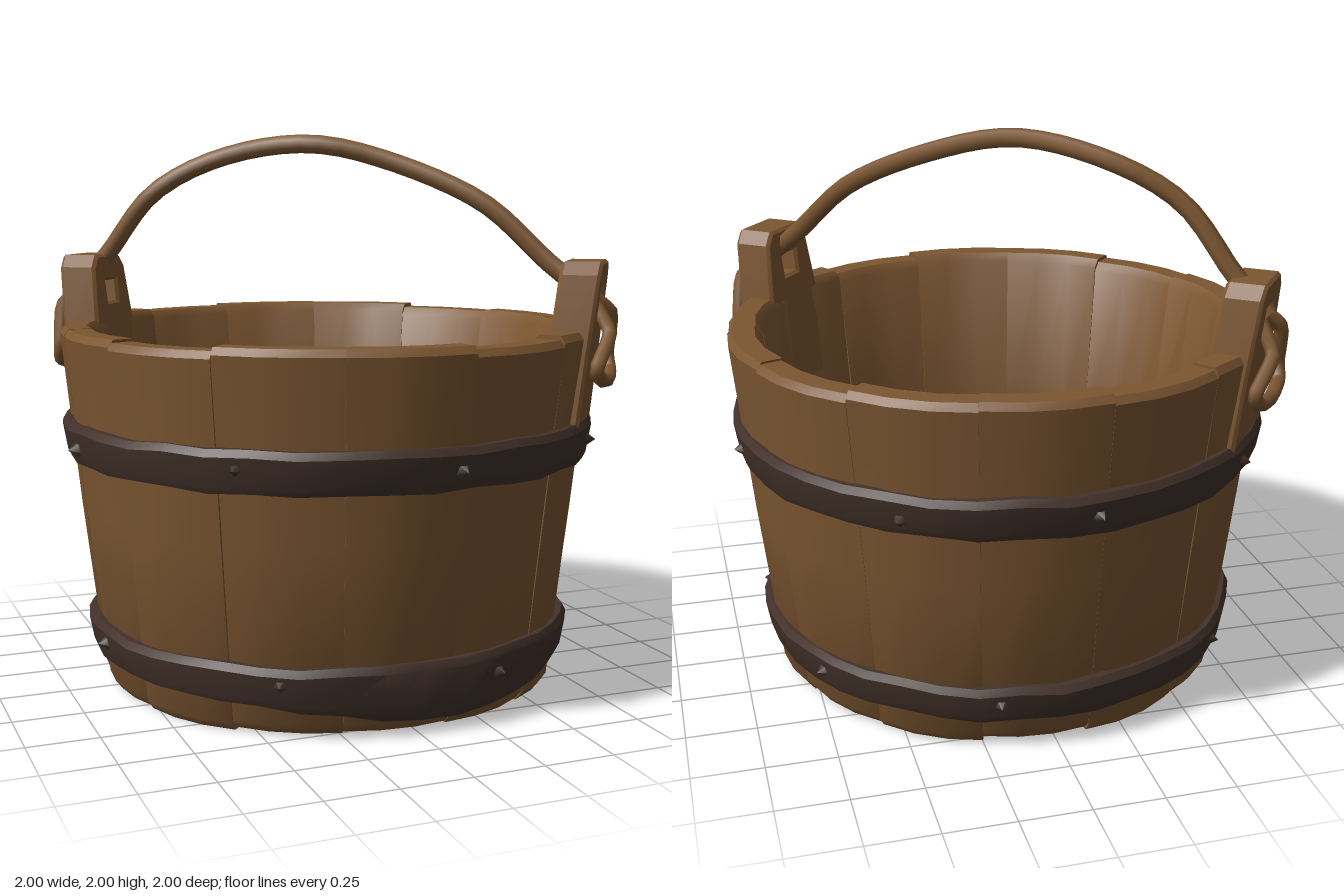
import * as THREE from 'three';
import { toCreasedNormals } from 'three/addons/utils/BufferGeometryUtils.js';

const wood = new THREE.MeshStandardMaterial({ color: 0x7c5631 });
wood.name = 'wood';
const iron = new THREE.MeshStandardMaterial({ color: 0x43322a });
iron.name = 'dark hoop';

// small seeded generator for hand-made unevenness
let seed = 11;
const rand = () => (seed = (seed * 16807) % 2147483647) / 2147483647;
const jitter = (amount) => (rand() - 0.5) * 2 * amount;

// outer wall radius at a height, and a point at azimuth a
const wallRadius = (y) => 0.845 + 0.112 * y;
const polar = (a, r, y) => [Math.sin(a) * r, y, Math.cos(a) * r];

// Joins closed profiles; each frame is { a, profile: [[r, y], ...] },
// profile order: outer bottom, outer top, inner top, inner bottom
function sweep(frames, closed) {
  const n = frames[0].profile.length;
  const positions = [];
  const index = [];
  for (const { a, profile } of frames) {
    for (const [r, y] of profile) positions.push(...polar(a, r, y));
  }
  const count = closed ? frames.length : frames.length - 1;
  for (let i = 0; i < count; i++) {
    const k = ((i + 1) % frames.length) * n;
    for (let j = 0; j < n; j++) {
      const m = (j + 1) % n;
      index.push(i * n + j, k + j, k + m, i * n + j, k + m, i * n + m);
    }
  }
  if (!closed) {
    const e = (frames.length - 1) * n;
    for (let j = 1; j < n - 1; j++) index.push(0, j, j + 1, e, e + j + 1, e + j);
  }
  const geo = new THREE.BufferGeometry();
  geo.setAttribute('position', new THREE.Float32BufferAttribute(positions, 3));
  geo.setIndex(index);
  return toCreasedNormals(geo, 0.7);
}

function add(parent, name, geo, material) {
  const mesh = new THREE.Mesh(geo, material);
  mesh.name = name;
  parent.add(mesh);
  return mesh;
}

// One curved plank of the wall, with worn edges
function staveGeometry(a0, a1) {
  const top = 1.305 + jitter(0.01);
  const bottom = 0.012 + jitter(0.01);
  const push = jitter(0.007);
  const frames = [];
  for (let i = 0; i <= 3; i++) {
    const edge = i === 0 || i === 3 ? 0.008 : 0;
    const out = (y) => wallRadius(y) + push - edge;
    frames.push({
      a: a0 + ((a1 - a0) * i) / 3,
      profile: [
        [out(0) - 0.02, bottom], [out(0.03), bottom + 0.03], [out(0.65) + jitter(0.006), 0.65],
        [out(1.28), top - 0.025], [out(1.3) - 0.02, top],
        [out(1.3) - 0.1, top], [out(1.28) - 0.125, top - 0.03],
        [out(0.6) - 0.12 + jitter(0.008), 0.6], [out(0) - 0.115, bottom],
      ],
    });
  }
  return sweep(frames, false);
}

// Uneven band around the wall; dip(a) lowers its lower edge
function hoopGeometry(low, high, proud, dip) {
  const frames = [];
  for (let i = 0; i < 40; i++) {
    const a = (i / 40) * Math.PI * 2;
    const y0 = low - dip(a) + jitter(0.006);
    const y1 = high + jitter(0.007);
    const p = proud + jitter(0.005);
    frames.push({
      a,
      profile: [
        [wallRadius(y0) - 0.04, y0], [wallRadius(y0) + p - 0.012, y0 + 0.005], [wallRadius(y0) + p, y0 + 0.03],
        [wallRadius(y1) + p, y1 - 0.025], [wallRadius(y1) + p - 0.015, y1], [wallRadius(y1) - 0.04, y1],
      ],
    });
  }
  return sweep(frames, true);
}

// Pointed studs hammered through a hoop
function addStuds(parent, y, proud, count, offset) {
  for (let i = 0; i < count; i++) {
    const a = offset + (i / count) * Math.PI * 2 + jitter(0.1);
    const geo = new THREE.ConeGeometry(0.03, 0.04, 5);
    geo.rotateX(Math.PI / 2);
    const stud = add(parent, 'hoopStud', geo, iron);
    stud.position.set(...polar(a, wallRadius(y) + proud + 0.008, y + jitter(0.015)));
    stud.rotation.y = a;
  }
}

function tube(points, radius, segments, closed) {
  const curve = new THREE.CatmullRomCurve3(
    points.map((p) => new THREE.Vector3(...p)), closed, 'catmullrom', closed ? 0.25 : 0.5);
  return new THREE.TubeGeometry(curve, segments, radius, 7, closed);
}

// Raised ear with a hole, and the rope loop tied through it
function makeLug() {
  const lug = new THREE.Group();
  lug.name = 'handleLug';
  const shape = new THREE.Shape();
  [[-0.18, 0.95], [0.18, 0.95], [0.165, 1.25], [0.13, 1.5], [0.095, 1.54], [-0.095, 1.54], [-0.13, 1.5], [-0.165, 1.25]]
    .forEach(([x, y], i) => (i ? shape.lineTo(x, y) : shape.moveTo(x, y)));
  const hole = new THREE.Path();
  [[-0.055, 1.36], [-0.06, 1.46], [0.06, 1.46], [0.055, 1.36]]
    .forEach(([x, y], i) => (i ? hole.lineTo(x, y) : hole.moveTo(x, y)));
  shape.holes.push(hole);
  const geo = new THREE.ExtrudeGeometry(shape, {
    depth: 0.12, bevelEnabled: true, bevelThickness: 0.012, bevelSize: 0.01, bevelSegments: 1,
  });
  // lean the ear outward with the wall
  const p = geo.attributes.position;
  for (let i = 0; i < p.count; i++) p.setZ(i, p.getZ(i) + wallRadius(p.getY(i)) - 0.125);
  add(lug, 'lugPlank', toCreasedNormals(geo, 0.5), wood);

  const front = (y) => wallRadius(y) + 0.04;
  const loop = [
    [0.03, 1.43, front(1.43) - 0.08], [0.09, 1.36, front(1.36)], [0.15, 1.21, front(1.21)],
    [0.12, 1.15, front(1.15) + 0.02], [0, 1.13, front(1.13) + 0.03], [-0.13, 1.14, front(1.14) + 0.02],
    [-0.17, 1.18, front(1.18)], [-0.07, 1.3, front(1.3) + 0.02], [-0.02, 1.41, front(1.41) - 0.06],
  ];
  add(lug, 'ropeLoop', tube(loop, 0.026, 36, true), wood);
  return lug;
}

export function createModel() {
  const bucket = new THREE.Group();
  bucket.name = 'bucket';

  // wall of staves
  const staves = new THREE.Group();
  staves.name = 'staves';
  bucket.add(staves);
  const count = 14;
  const step = (Math.PI * 2) / count;
  for (let i = 0; i < count; i++) {
    const a = 0.14 + i * step;
    add(staves, 'stave', staveGeometry(a, a + step), wood);
  }

  // recessed floor and the dark ring holding it
  const floor = add(bucket, 'floor', new THREE.CylinderGeometry(0.77, 0.76, 0.05, 36), wood);
  floor.position.y = 0.18;
  const ringFrames = [];
  for (let i = 0; i < 36; i++) {
    const inner = 0.7 + jitter(0.018);
    ringFrames.push({
      a: (i / 36) * Math.PI * 2,
      profile: [[0.78, 0.13], [0.78, 0.25], [inner + 0.03, 0.24], [inner, 0.21], [inner, 0.14]],
    });
  }
  add(bucket, 'floorRing', sweep(ringFrames, true), iron);

  // hoops
  add(bucket, 'upperHoop', hoopGeometry(0.835, 0.985, 0.03, () => 0), iron);
  add(bucket, 'lowerHoop', hoopGeometry(0.115, 0.255, 0.028,
    (a) => 0.07 * Math.max(0, Math.cos(a - 0.15)) ** 6), iron);
  addStuds(bucket, 0.91, 0.03, 8, 0.9);
  addStuds(bucket, 0.19, 0.028, 7, 0.3);

  // lugs on opposite sides
  for (const turn of [0, Math.PI]) {
    const lug = makeLug();
    lug.rotation.y = 0.92 + turn;
    bucket.add(lug);
  }

  // bent handle
  const path = [
    [-0.8, 1.42, -0.62], [-0.7, 1.55, -0.54], [-0.55, 1.78, -0.42], [-0.32, 1.915, -0.29], [-0.06, 1.965, -0.07],
    [0.2, 1.905, 0.09], [0.48, 1.755, 0.31], [0.67, 1.54, 0.47], [0.79, 1.41, 0.6],
  ];
  add(bucket, 'handle', tube(path, 0.035, 32, false), wood);

  return bucket;
}
